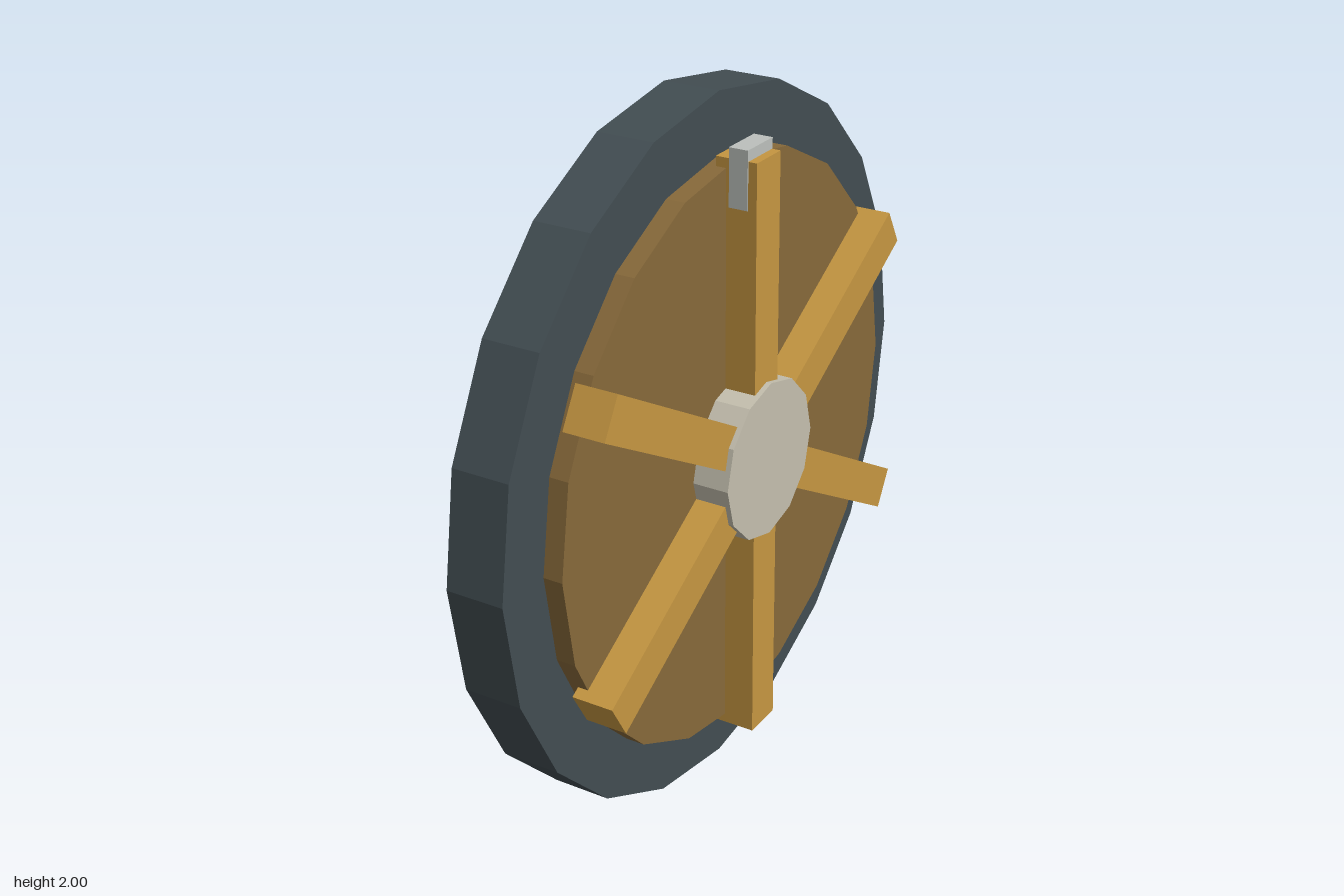
import * as THREE from 'three';

const mat = (name, color) => {
  const m = new THREE.MeshStandardMaterial({ color, flatShading: true });
  m.name = name;
  return m;
};

export function createModel() {
  const rim = mat('dark slate', 0x424d52);
  const panel = mat('brown wood', 0x87693a);
  const wood = mat('golden wood', 0xc59641);
  const stone = mat('pale hub', 0xc4bfae);
  const metal = mat('grey metal', 0xbcc0bc);

  const model = new THREE.Group();
  model.name = 'wheel';
  const wheel = new THREE.Group();
  wheel.name = 'wheelParts';
  wheel.position.y = 1;
  model.add(wheel);

  const add = (name, geometry, material) => {
    const mesh = new THREE.Mesh(geometry, material);
    mesh.name = name;
    wheel.add(mesh);
    return mesh;
  };

  // Disc whose axis lies along x, spanning x0 to x1
  const disc = (name, radius, x0, x1, sides, material) => {
    const g = new THREE.CylinderGeometry(radius, radius, x1 - x0, sides);
    g.rotateZ(-Math.PI / 2);
    g.translate((x0 + x1) / 2, 0, 0);
    return add(name, g, material);
  };

  disc('outerDisc', 1, -0.165, 0, 20, rim);
  disc('innerPanel', 0.832, 0, 0.055, 20, panel);
  disc('hub', 0.226, 0.03, 0.16, 12, stone);

  // Six spokes radiating from the hub
  for (let i = 0; i < 6; i++) {
    const g = new THREE.BoxGeometry(0.12, 0.75, 0.12);
    g.translate(0.085, 0.475, 0);
    add('spoke', g, wood).rotation.x = (i * Math.PI) / 3;
  }

  // Metal marker wrapped over the end of the top spoke
  const clip = new THREE.BoxGeometry(0.055, 0.16, 0.126);
  clip.translate(0.0925, 0.8, 0);
  add('markerClip', clip, metal);

  return model;
}
